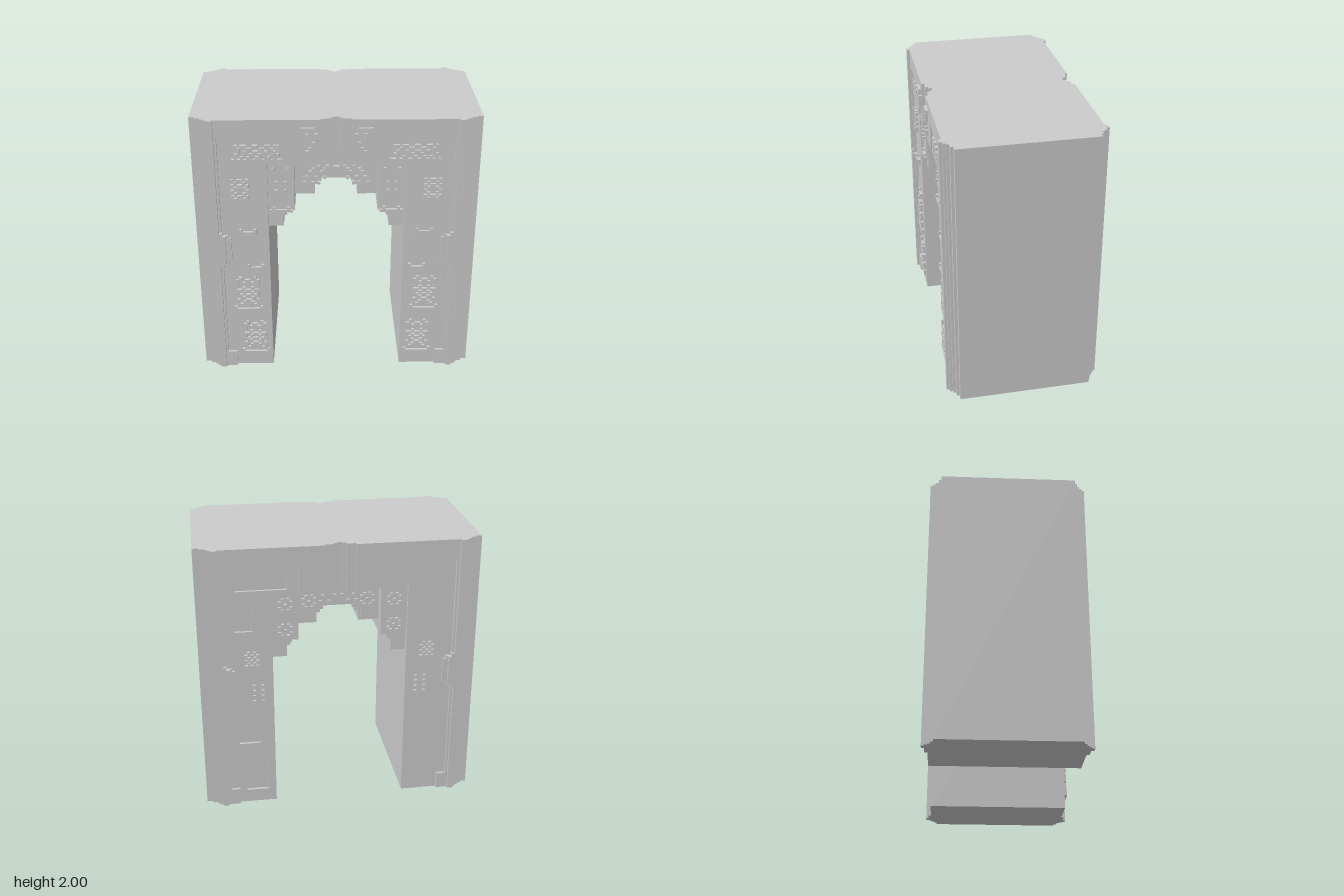
import * as THREE from 'three';
import { mergeGeometries } from 'three/addons/utils/BufferGeometryUtils.js';

const U = 0.0206; // one block of the pixel relief
const SIDES = [-1, 1];
const mat = new THREE.MeshStandardMaterial({ color: 0xcccccc, flatShading: true });

function boxGeo(x0, x1, y0, y1, z0, z1) {
  return new THREE.BoxGeometry(Math.abs(x1 - x0), y1 - y0, z1 - z0)
    .translate((x0 + x1) / 2, (y0 + y1) / 2, (z0 + z1) / 2);
}

export function createModel() {
  const group = new THREE.Group();
  const add = (name, geos) => {
    const mesh = new THREE.Mesh(Array.isArray(geos) ? mergeGeometries(geos) : geos, mat);
    mesh.name = name;
    group.add(mesh);
  };
  // mirrored pair of boxes running from back to front
  const pair = (name, x0, x1, y0, y1, z) =>
    add(name, SIDES.map(s => boxGeo(s * x0, s * x1, y0, y1, -z, z)));

  // stepped outer pilasters, full height: [inner x, outer x, half depth]
  [[0.957, 1, 0.48], [0.92, 0.957, 0.5], [0.9, 0.92, 0.52], [0.877, 0.9, 0.54],
    [0.834, 0.877, 0.56], [0.816, 0.834, 0.54]]
    .forEach(([a, b, z]) => pair('outerPilaster', a, b, 0, 2, z));

  // leg and lintel cores
  pair('legCore', 0.48, 0.816, 0, 2, 0.5);
  pair('lintelEnd', 0.293, 0.48, 1.31, 2, 0.5);
  pair('topBand', 0.293, 0.816, 1.87, 2, 0.54);
  // stepped channel in the middle of the lintel
  [[0, 0.02, 0.48], [0.02, 0.043, 0.5], [0.043, 0.107, 0.52], [0.107, 0.293, 0.54]]
    .forEach(([a, b, z]) => pair('lintelMiddle', a, b, 1.67, 2, z));

  // corbels: stepped beams running through the passage
  [[0.293, 1.295, 1.31], [0.337, 1.275, 1.295], [0.352, 1.255, 1.275], [0.375, 1.17, 1.255]]
    .forEach(([x, y0, y1]) => pair('corbel', x, 0.48, y0, y1, 0.48));

  // recessed stepped arch under the lintel
  const arch = (pts, z) => {
    const full = [...pts, ...pts.map(([x, y]) => [-x, y]).reverse()];
    const shape = new THREE.Shape(full.map(p => new THREE.Vector2(...p)));
    return new THREE.ExtrudeGeometry(shape, { depth: 2 * z, bevelEnabled: false }).translate(0, 0, -z);
  };
  add('archFace', arch([[0.293, 1.67], [0.293, 1.4], [0.165, 1.4], [0.165, 1.47], [0.14, 1.47],
    [0.14, 1.5], [0.115, 1.5], [0.115, 1.525]], 0.41));
  add('archVault', arch([[0.293, 1.66], [0.293, 1.38], [0.15, 1.38], [0.15, 1.455], [0.125, 1.455],
    [0.125, 1.48], [0.105, 1.48], [0.105, 1.505]], 0.39));

  // thin facing panels; the back ones have sunken windows [x0, x1, y0, y1]
  const windows = [[0.37, 0.73, 1.69, 1.81], [0.62, 0.74, 1.39, 1.57],
    [0.58, 0.74, 0.5, 0.77], [0.54, 0.7, 0.1, 0.39]];
  const outline = [[0.816, 0], [0.816, 1.87], [0.293, 1.87], [0.293, 1.67], [0.48, 1.67], [0.48, 0]];
  for (const s of SIDES) {
    for (const front of [true, false]) {
      const shape = new THREE.Shape(outline.map(([x, y]) => new THREE.Vector2(s * x, y)));
      if (!front) {
        for (const [a, b, c, d] of windows) {
          shape.holes.push(new THREE.Path([[a, c], [b, c], [b, d], [a, d]]
            .map(([x, y]) => new THREE.Vector2(s * x, y))));
        }
      }
      add(front ? 'frontPanel' : 'backPanel',
        new THREE.ExtrudeGeometry(shape, { depth: 0.02, bevelEnabled: false })
          .translate(0, 0, front ? 0.5 : -0.52));
    }
  }

  // stepped clasps beside the panels and plinths at the foot
  pair('clasp', 0.79, 0.834, 0.89, 1.12, 0.56);
  pair('claspEnd', 0.812, 0.834, 0.865, 1.145, 0.56);
  pair('claspInner', 0.75, 0.816, 0.91, 1.1, 0.54);
  pair('claspInnerEnd', 0.772, 0.816, 0.89, 1.12, 0.54);
  pair('plinth', 0.75, 0.816, 0, 0.125, 0.54);

  // pixel relief, mirrored; column 0 is the outermost, horizontal runs become one box
  const relief = (name, rows, xOuter, yTop, z, depth = 0.02) => {
    const geos = [];
    const [z0, z1] = z > 0 ? [z - 0.005, z + depth] : [z - depth, z + 0.005];
    rows.forEach((row, r) => {
      for (const m of row.matchAll(/X+/g)) {
        const x0 = xOuter - m.index * U, x1 = x0 - m[0].length * U;
        for (const s of SIDES) geos.push(boxGeo(s * x0, s * x1, yTop - (r + 1) * U, yTop - r * U, z0, z1));
      }
    });
    add(name, geos);
  };

  // front ornaments
  relief('upperFrieze', [
    '.X.XX..XX..XX.XX.',
    '.XX..XX..XX..X.X.',
    '..X.XX.XX.XX.XX..',
    '.XX.X.X..X.X..XX.',
    '.X.X.XX.XX.XX.X..',
    'XXXXXXXXXXXXXXXXX'], 0.72, 1.815, 0.52);
  relief('smallOrnament', [
    'X.XX.X', '.X..X.', 'X.XX.X', '.XXXX.', 'X....X', '.X..X.', 'X.XX.X', 'XXXXXX'], 0.735, 1.56, 0.52);
  const clip = ['X....X', 'XXXXXX'];
  relief('upperClip', clip, 0.69, 1.17, 0.52);
  relief('lowerClip', clip, 0.645, 0.88, 0.52);
  const diamond = [
    '..X....X..',
    '.XX.XX.XX.',
    '.X.XXXX.X.',
    '.X..XX..X.',
    '...X..X...',
    '.XX.XX.XX.',
    '.X.X..X.X.',
    '.XX.XX.XX.',
    '...X..X...',
    '.X..XX..X.',
    '.X.XXXX.X.',
    '.XX.XX.XX.',
    'X........X',
    'XXXXXXXXXX'];
  relief('diamondOrnament', diamond, 0.75, 0.775, 0.52);
  relief('diamondOrnament', diamond, 0.71, 0.395, 0.52);
  relief('scroll', [
    'XXXXX.', '....X.', '..X..X', '..X..X', '..X..X', '....XX', '....X.', '...X..', '..X...', '..X...'],
  0.25, 1.945, 0.54);
  relief('blockStuds', [
    '.X....X.', '........', '........', '........', '........',
    '..X..X..', '........', '........', '..X..X..'], 0.47, 1.635, 0.5);
  relief('blockFoot', ['.X....X.', 'XXXXXXXX'], 0.47, 1.335, 0.5);
  relief('archStuds', [
    '...XXXXX..',
    '..........',
    '.....X..X.',
    '...X...X..',
    '..X...X...',
    '..........',
    '.X..X..X..',
    '..........',
    'X..X.X....'], 0.235, 1.655, 0.41);
  add('keystone', boxGeo(-0.022, 0.022, 1.565, 1.61, 0.4, 0.43));

  // back studs
  relief('latticeStuds', ['.X.X.', 'X.X.X', '.X.X.', 'X.X.X', '.X.X.', 'X.X.X'], 0.68, 1.24, -0.52);
  relief('gridStuds', ['X..X', '....', 'X..X', '....', 'X..X', '....', 'X..X'], 0.63, 0.98, -0.52);
  const rosette = ['.X.X.', 'X...X', '..X..', 'X...X', '.X.X.'];
  relief('rosette', rosette, 0.437, 1.62, -0.5);
  relief('rosette', rosette, 0.437, 1.43, -0.5);
  relief('rosette', rosette, 0.26, 1.6, -0.41);
  relief('archBackStuds', ['X..X..', '......', '.X...X', '......', 'X..X..'], 0.14, 1.64, -0.41);

  return group;
}
